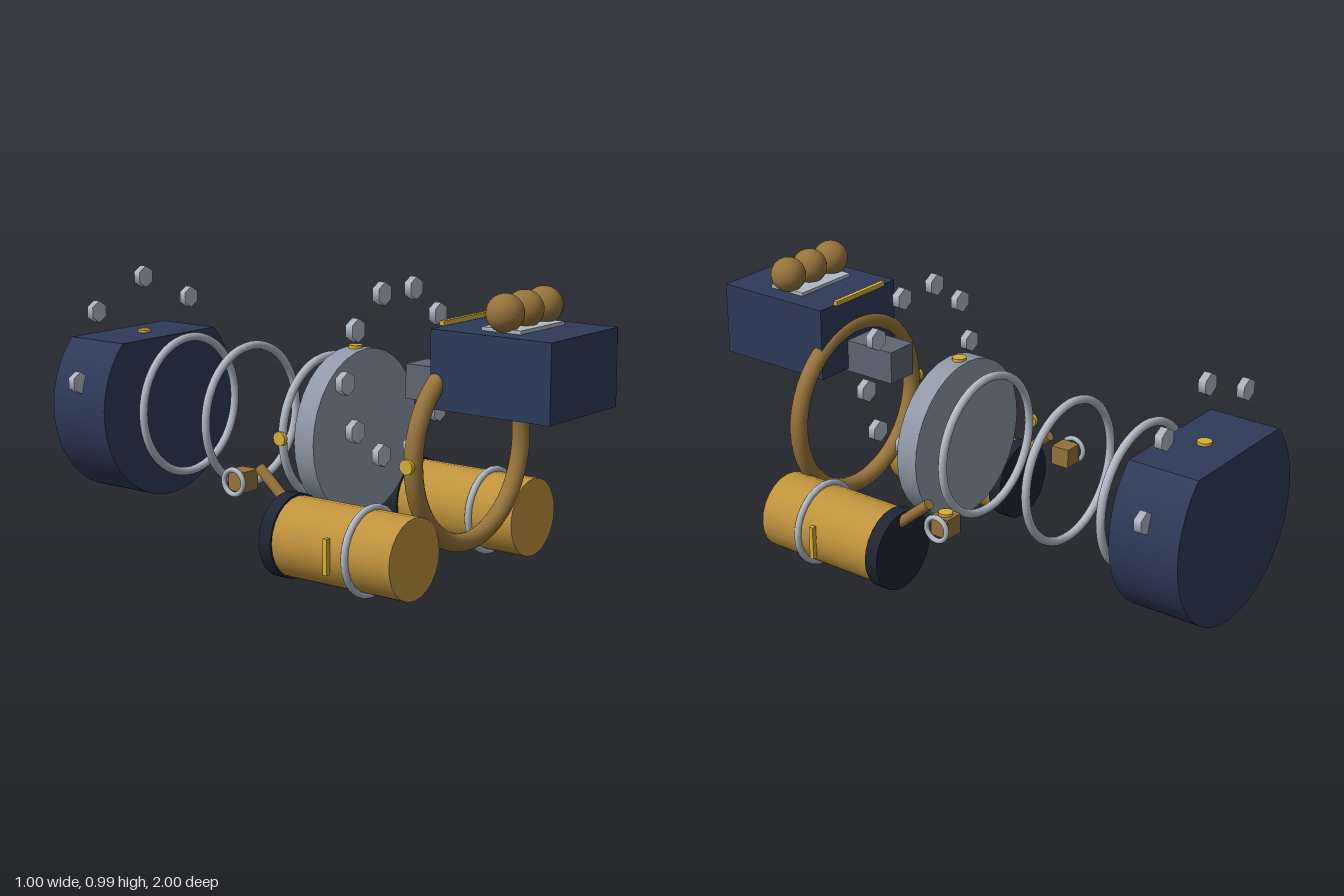
import * as THREE from 'three';

const mat = (color) => new THREE.MeshStandardMaterial({ color });

export function createModel() {
  const model = new THREE.Group();
  const navy = mat(0x2e3a59), dark = mat(0x1e2533), bronze = mat(0x96733a), brass = mat(0xbf933c);
  const gold = mat(0xd4af37), steel = mat(0xb0b8c4), plate = mat(0x8f99a8), slate = mat(0x5f6673);

  const add = (name, geometry, material, x, y, z, parent = model) => {
    const mesh = new THREE.Mesh(geometry, material);
    mesh.name = name;
    mesh.position.set(x, y, z);
    parent.add(mesh);
    return mesh;
  };
  const box = (w, h, d) => new THREE.BoxGeometry(w, h, d);
  // Cylinder lying along z
  const drum = (r, length, sides) => new THREE.CylinderGeometry(r, r, length, sides).rotateX(Math.PI / 2);
  const button = () => new THREE.CylinderGeometry(0.025, 0.025, 0.016, 12);
  const axisY = 0.453;

  // Front housing with its three domes, tray, hinge and rear plug
  add('frontHousing', box(0.395, 0.257, 0.446), navy, 0, 0.743, 0.777);
  add('domeTray', box(0.255, 0.012, 0.145), steel, 0, 0.878, 0.772);
  for (const x of [-0.112, 0, 0.112]) {
    add('dome', new THREE.SphereGeometry(0.062, 24, 16), bronze, x, 0.932, 0.776);
  }
  add('hingeBar', box(0.255, 0.016, 0.016), gold, 0, 0.88, 0.547);
  add('rearPlug', box(0.12, 0.116, 0.22), slate, 0, 0.662, 0.468);

  // Large front hoop with side button
  add('frontHoop', new THREE.TorusGeometry(0.31, 0.031, 16, 48), bronze, 0, axisY, 0.572);
  add('hoopButton', button(), gold, -0.341, axisY, 0.57).rotation.z = Math.PI / 2;

  // Disc and its top button
  add('disc', drum(0.287, 0.08, 32), plate, 0, axisY, 0.11);
  add('discButton', button(), gold, 0, 0.741, 0.105);

  // Sealing rings behind the disc
  for (const z of [-0.013, -0.357, -0.65]) {
    add('sealRing', new THREE.TorusGeometry(0.246, 0.015, 12, 48), steel, 0, axisY, z);
  }
  add('ringButton', button(), gold, -0.258, axisY, -0.013).rotation.z = Math.PI / 2;

  // Rear case: drum with a quarter wedge cut from the top
  const wedge = new THREE.Shape();
  wedge.moveTo(0, 0);
  wedge.absarc(0, 0, 0.344, Math.PI * 0.75, Math.PI * 2.25, false);
  wedge.closePath();
  const caseGeometry = new THREE.ExtrudeGeometry(wedge, { depth: 0.253, bevelEnabled: false, curveSegments: 32 });
  add('rearCase', caseGeometry, navy, 0, axisY, -1);
  add('caseButton', button(), gold, 0, 0.698, -0.872);

  // Hexagonal nuts: full circle at the front, half circle at the rear
  const nut = (angle, radius, y, z) =>
    add('hexNut', drum(0.039, 0.027, 6).toNonIndexed(), steel, radius * Math.cos(angle), y + radius * Math.sin(angle), z);
  for (let i = 0; i < 10; i++) nut((i * Math.PI) / 5, 0.284, 0.677, 0.28);
  for (let i = 0; i < 5; i++) nut((i * Math.PI) / 4, 0.344, 0.557, -0.872);

  // Mirrored tanks with band, cap, pipe and valve
  for (const side of [-1, 1]) {
    const tank = new THREE.Group();
    tank.name = side > 0 ? 'leftTank' : 'rightTank';
    model.add(tank);
    const x = 0.344 * side, y = 0.159;
    add('tankBody', drum(0.136, 0.5, 24), brass, x, y, 0.354, tank);
    add('tankCap', drum(0.143, 0.05, 24), dark, x, y, 0.107, tank);
    add('tankBand', new THREE.TorusGeometry(0.143, 0.012, 12, 24), steel, x, y, 0.434, tank);
    add('gaugeStrip', box(0.018, 0.12, 0.016), gold, 0.487 * side, y, 0.364, tank);

    const path = new THREE.LineCurve3(new THREE.Vector3(x, 0.255, 0.1), new THREE.Vector3(x, 0.367, -0.032));
    const length = path.getLength(), mid = path.getPoint(0.5);
    const pipe = add('pipe', new THREE.CylinderGeometry(0.019, 0.019, length, 14), bronze, mid.x, mid.y, mid.z, tank);
    pipe.quaternion.setFromUnitVectors(new THREE.Vector3(0, 1, 0), path.getTangent(0));

    add('valveBlock', box(0.07, 0.07, 0.07), bronze, x, 0.316, -0.103, tank);
    const wheel = add('valveWheel', new THREE.TorusGeometry(0.042, 0.009, 10, 24), steel, 0.394 * side, 0.316, -0.103, tank);
    wheel.rotation.y = Math.PI / 2;
  }
  add('valveButton', button(), gold, 0.344, 0.353, -0.103);

  return model;
}
